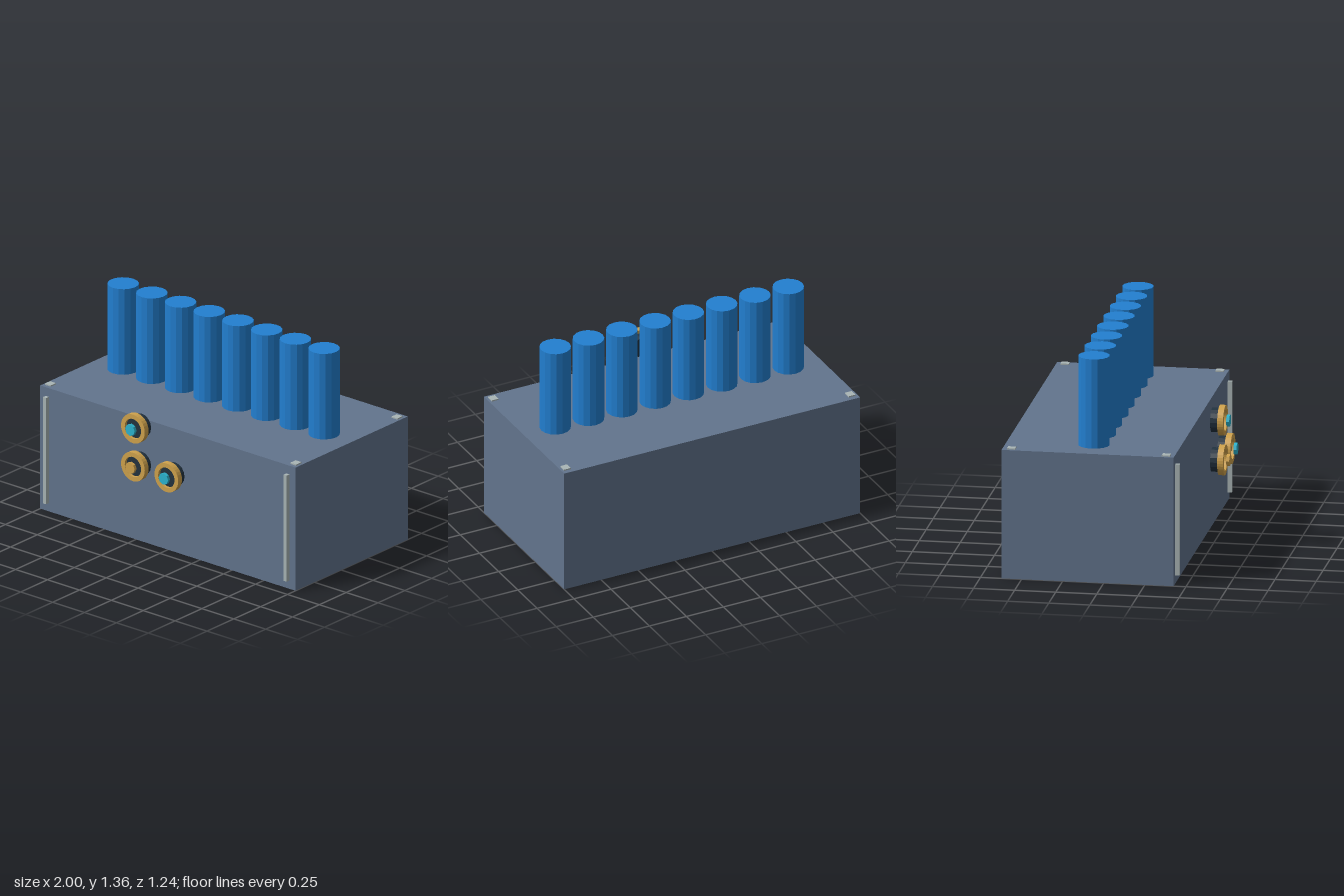
import * as THREE from 'three';

const material = (name, color, flat = false) => {
  const m = new THREE.MeshStandardMaterial({ color, flatShading: flat });
  m.name = name;
  return m;
};

export function createModel() {
  const slate = material('slate', 0x62748d);
  const blue = material('blue', 0x227fd0, true);
  const gold = material('gold', 0xcfa24c, true);
  const dark = material('dark navy', 0x22323f, true);
  const cyan = material('cyan', 0x2bb4cf, true);
  const grey = material('pale grey', 0xa9b5b5);

  const model = new THREE.Group();
  model.name = 'tubeCabinet';

  const add = (parent, name, geometry, mat, x, y, z) => {
    const mesh = new THREE.Mesh(geometry, mat);
    mesh.name = name;
    mesh.position.set(x, y, z);
    parent.add(mesh);
    return mesh;
  };
  // Cylinder lying along z
  const disc = (radius, depth, sides) =>
    new THREE.CylinderGeometry(radius, radius, depth, sides).rotateX(Math.PI / 2);

  // Cabinet
  add(model, 'cabinet', new THREE.BoxGeometry(2, 0.8, 1.047), slate, 0, 0.4, -0.0985);

  // Row of upright tubes
  const tubeGeo = new THREE.CylinderGeometry(0.095, 0.095, 0.555, 16);
  for (let i = 0; i < 8; i++) {
    add(model, 'tube', tubeGeo, blue, (i - 3.5) * 0.225, 1.0775, -0.095);
  }

  // Front edge strips and corner pads on the lid
  const stripGeo = new THREE.BoxGeometry(0.024, 0.69, 0.026);
  const padGeo = new THREE.BoxGeometry(0.046, 0.008, 0.05);
  for (const side of [-1, 1]) {
    add(model, 'edgeStrip', stripGeo, grey, side * 0.943, 0.4, 0.44);
    for (const z of [0.375, -0.567]) add(model, 'cornerPad', padGeo, grey, side * 0.962, 0.804, z);
  }

  // Dials: dark body, gold rim with an open middle, small hub in front
  const rimShape = new THREE.Shape().absarc(0, 0, 0.093, 0, Math.PI * 2);
  rimShape.holes.push(new THREE.Path().absarc(0, 0, 0.064, 0, Math.PI * 2, true));
  const rimGeo = new THREE.ExtrudeGeometry(rimShape, { depth: 0.036, bevelEnabled: false, curveSegments: 16 });
  const bodyGeo = disc(0.074, 0.063, 16);
  const hubGeo = disc(0.037, 0.019, 8);
  for (const [x, y, hubMat] of [[-0.132, 0.803, cyan], [-0.132, 0.556, gold], [0.13, 0.556, cyan]]) {
    const dial = new THREE.Group();
    dial.name = 'dial';
    dial.position.set(x, y, 0);
    add(dial, 'dialBody', bodyGeo, dark, 0, 0, 0.5435);
    add(dial, 'dialRim', rimGeo, gold, 0, 0, 0.558);
    add(dial, 'dialHub', hubGeo, hubMat, 0, 0, 0.6125);
    model.add(dial);
  }

  return model;
}
